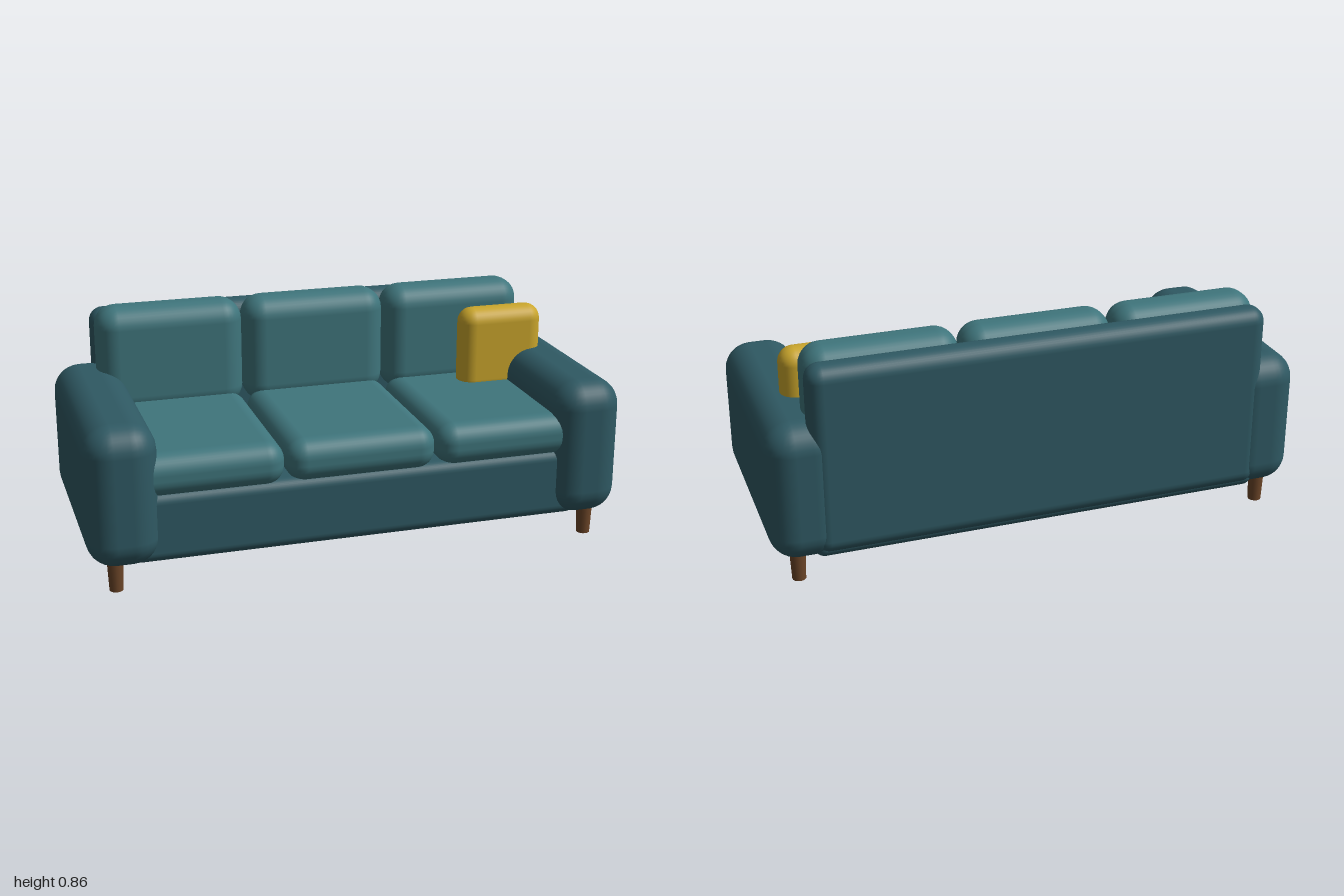
import * as THREE from 'three';
import { RoundedBoxGeometry } from 'three/addons/geometries/RoundedBoxGeometry.js';

const paint = (color) => new THREE.MeshStandardMaterial({ color });

export function createModel() {
  const sofa = new THREE.Group();
  sofa.name = 'sofa';

  const frameFabric = paint(0x2f5963);
  const cushionFabric = paint(0x3f757c);
  const pillowFabric = paint(0xc9a52c);
  const wood = paint(0x6b4528);

  // Soft box given by its [min, max] extent on each axis
  function softBox(name, [x0, x1], [y0, y1], [z0, z1], radius, material) {
    const geometry = new RoundedBoxGeometry(x1 - x0, y1 - y0, z1 - z0, 4, radius);
    const mesh = new THREE.Mesh(geometry, material);
    mesh.name = name;
    mesh.position.set((x0 + x1) / 2, (y0 + y1) / 2, (z0 + z1) / 2);
    sofa.add(mesh);
  }

  // Upholstered frame
  softBox('base', [-0.85, 0.85], [0.1, 0.36], [-0.43, 0.4], 0.04, frameFabric);
  softBox('backrest', [-0.85, 0.85], [0.12, 0.83], [-0.45, -0.33], 0.055, frameFabric);
  softBox('leftArm', [0.74, 1], [0.1, 0.62], [-0.45, 0.45], 0.1, frameFabric);
  softBox('rightArm', [-1, -0.74], [0.1, 0.62], [-0.45, 0.45], 0.1, frameFabric);

  // Three seat cushions and three back cushions
  ['right', 'middle', 'left'].forEach((side, i) => {
    const x = (i - 1) * 0.565;
    const span = [x - 0.28, x + 0.28];
    softBox(`${side}SeatCushion`, span, [0.34, 0.5], [-0.28, 0.415], 0.07, cushionFabric);
    softBox(`${side}BackCushion`, span, [0.44, 0.86], [-0.38, -0.2], 0.08, cushionFabric);
  });

  // Loose pillow by the left arm
  softBox('pillow', [0.55, 0.885], [0.45, 0.79], [-0.18, -0.06], 0.058, pillowFabric);

  // Tapered legs, set slightly into the arms
  const legGeometry = new THREE.CylinderGeometry(0.03, 0.025, 0.12, 16);
  for (const x of [-0.9, 0.9]) {
    for (const z of [-0.35, 0.35]) {
      const leg = new THREE.Mesh(legGeometry, wood);
      leg.name = `${z > 0 ? 'front' : 'back'}${x > 0 ? 'Left' : 'Right'}Leg`;
      leg.position.set(x, 0.06, z);
      sofa.add(leg);
    }
  }

  return sofa;
}
